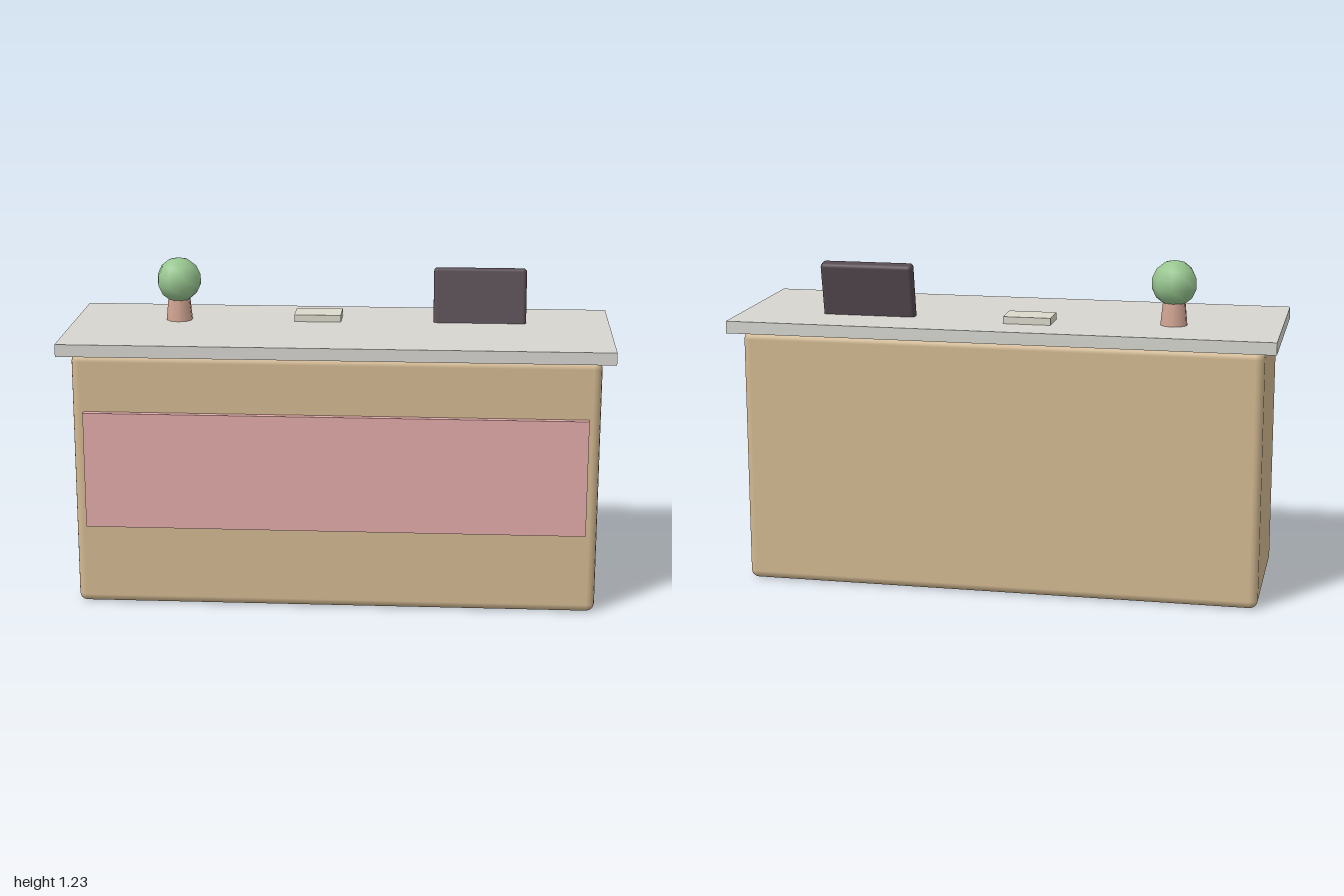
import * as THREE from 'three';
import { RoundedBoxGeometry } from 'three/addons/geometries/RoundedBoxGeometry.js';

export function createModel() {
  const desk = new THREE.Group();
  desk.name = 'receptionCounter';

  const add = (name, geometry, color, x, y, z) => {
    const mesh = new THREE.Mesh(geometry, new THREE.MeshStandardMaterial({ color }));
    mesh.name = name;
    mesh.position.set(x, y, z);
    desk.add(mesh);
    return mesh;
  };

  // Counter: rounded body, overhanging top and raised front panel
  add('counterBody', new RoundedBoxGeometry(1.91, 0.95, 0.602, 2, 0.03), 0xd2b891, 0, 0.48, 0);
  add('counterTop', new THREE.BoxGeometry(2, 0.045, 0.692), 0xd6d5d0, 0, 0.9775, 0);
  add('frontPanel', new THREE.BoxGeometry(1.825, 0.432, 0.035), 0xe0aaa8, 0, 0.525, 0.3075);

  // Screen leaning back, its lower edge sunk into the top
  const screen = add('screen', new RoundedBoxGeometry(0.346, 0.22, 0.05, 2, 0.014), 0x554a50, 0.518, 1.09, -0.131);
  screen.rotation.x = -0.2;

  // Small pad on the top
  add('notepad', new THREE.BoxGeometry(0.175, 0.026, 0.12), 0xdcd8cb, -0.088, 1.013, -0.133);

  // Potted plant
  add('plantPot', new THREE.CylinderGeometry(0.04, 0.05, 0.1, 10), 0xd0a492, -0.61, 1.048, -0.09);
  const foliage = add('plantFoliage', new THREE.SphereGeometry(0.084, 9, 7), 0x98c690, -0.61, 1.152, -0.088);
  foliage.rotation.y = -Math.PI / 2;

  return desk;
}
